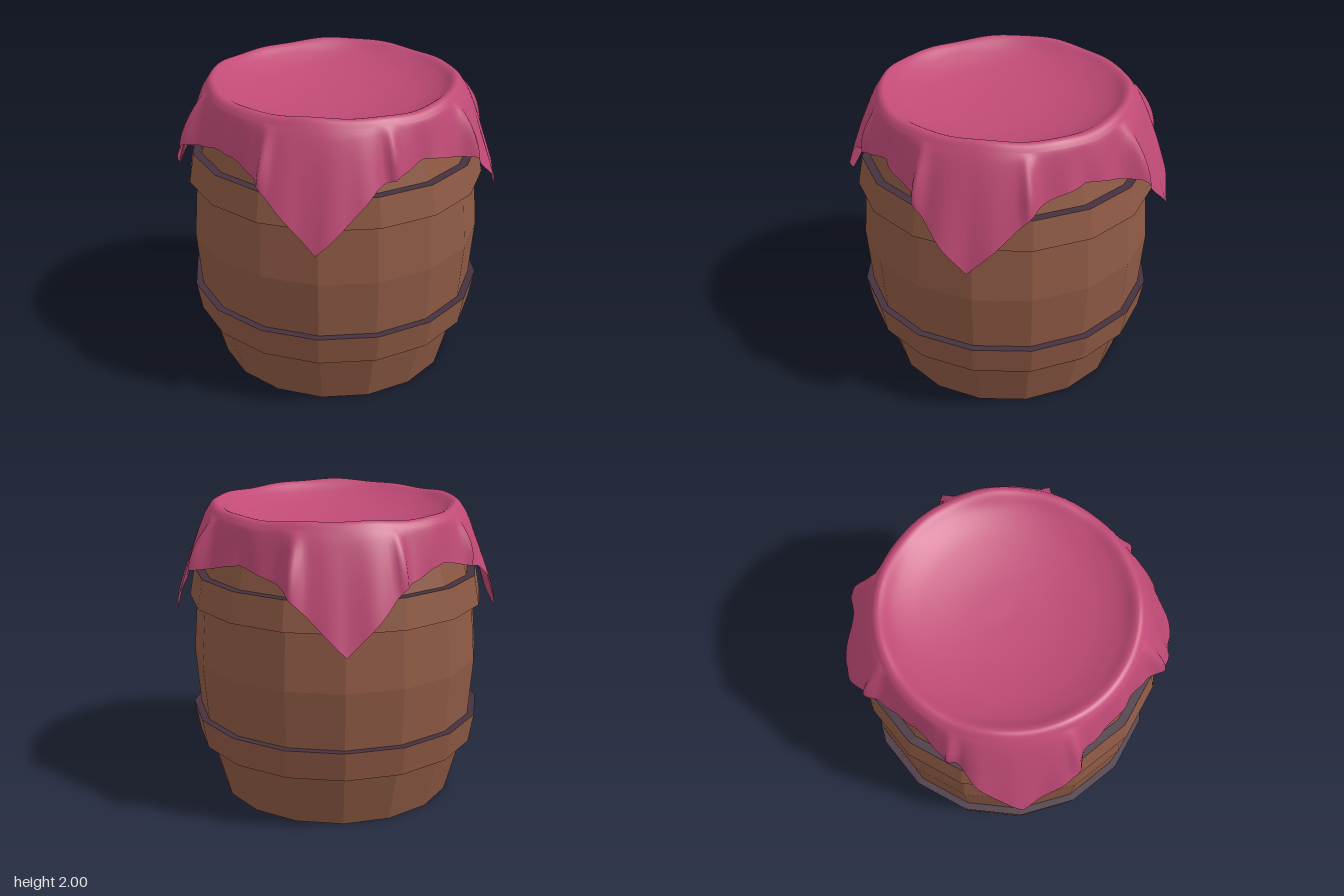
import * as THREE from 'three';

const SIDES = 16;
const wood = new THREE.MeshStandardMaterial({ color: 0x8f5a45 });
wood.name = 'brown wood';
const dark = new THREE.MeshStandardMaterial({ color: 0x46323f });
dark.name = 'dark edge';
const fabric = new THREE.MeshStandardMaterial({ color: 0xc04a76, side: THREE.DoubleSide });
fabric.name = 'pink cloth';

// Faceted ring from a [radius, height] profile, listed bottom to top on the outside
function facetedLathe(name, profile, material) {
  const points = profile.map(([r, y]) => new THREE.Vector2(r, y));
  const geometry = new THREE.LatheGeometry(points, SIDES).toNonIndexed();
  geometry.computeVertexNormals();
  const mesh = new THREE.Mesh(geometry, material);
  mesh.name = name;
  return mesh;
}

// Wide band with a brown face and dark upper and lower edges
function makeHoop(name, y0, r0, y1, r1, inner) {
  const hoop = new THREE.Group();
  hoop.name = name;
  hoop.add(
    facetedLathe('hoopFace', [[r0, y0], [r1, y1]], wood),
    facetedLathe('hoopUpperEdge', [[r1, y1], [inner, y1]], dark),
    facetedLathe('hoopLowerEdge', [[inner, y0], [r0, y0]], dark),
  );
  return hoop;
}

// Linear lookup in a list of [x, value] pairs
function lookup(table, x) {
  let i = 1;
  while (i < table.length - 1 && x > table[i][0]) i++;
  const [x0, v0] = table[i - 1], [x1, v1] = table[i];
  return v0 + (v1 - v0) * THREE.MathUtils.clamp((x - x0) / (x1 - x0), 0, 1);
}

// Square cloth: sagging centre, round rim, skirt with four hanging corners
function makeCloth() {
  const COLS = 240, SKIRT = 18;
  const top = new THREE.SplineCurve([
    [0, 1.79], [0.3, 1.81], [0.55, 1.865], [0.7, 1.93], [0.775, 1.973], [0.815, 1.968], [0.845, 1.93],
  ].map(([r, y]) => new THREE.Vector2(r, y))).getPoints(30);
  const hemHeight = [[0, 1.235], [7, 1.36], [15, 1.5], [21, 1.605], [30, 1.64], [39, 1.68], [45, 1.695]];
  const hemRadius = [[0, 1.09], [8, 1.065], [16, 1.03], [21, 0.985], [26, 0.925], [45, 0.89]];
  const pinches = [24.5, 73.5, 114.5, 156, 206, 246.5, 287.5, 335.5];

  const rows = top.length + SKIRT;
  const positions = [], index = [];
  for (let i = 0; i < rows; i++) {
    for (let j = 0; j < COLS; j++) {
      const deg = (j / COLS) * 360, phi = THREE.MathUtils.degToRad(deg);
      const fromCorner = Math.abs((deg % 90) - 45);
      let r, y;
      if (i < top.length) {
        r = top[i].x;
        y = top[i].y;
        // slight lift of the rim
        const rim = THREE.MathUtils.smoothstep(r, 0.68, 0.8);
        y += rim * (0.012 - 0.01 * Math.cos(4 * phi) + 0.004 * Math.sin(11 * phi));
      } else {
        const t = (i - top.length + 1) / SKIRT;
        const startY = 1.93 + 0.012 - 0.01 * Math.cos(4 * phi) + 0.004 * Math.sin(11 * phi);
        y = THREE.MathUtils.lerp(startY, lookup(hemHeight, fromCorner), t);
        r = THREE.MathUtils.lerp(0.845, lookup(hemRadius, fromCorner), Math.pow(t, 0.8));
        // soft folds and sharp pinched pleats
        r += 0.008 * t * (Math.sin(23 * phi + 1) + Math.sin(14 * phi + 2 * t));
        for (const p of pinches) {
          const d = (deg - p) / 2.4;
          r += 0.055 * Math.sin(Math.PI * Math.min(t * 0.75, 1)) * Math.exp(-d * d);
        }
      }
      positions.push(r * Math.sin(phi), y, r * Math.cos(phi));
      if (i < rows - 1) {
        const k = (j + 1) % COLS;
        const a = i * COLS + j, b = a + COLS, c = (i + 1) * COLS + k, d = i * COLS + k;
        index.push(a, b, c);
        if (i > 0) index.push(a, c, d);
      }
    }
  }
  const geometry = new THREE.BufferGeometry();
  geometry.setAttribute('position', new THREE.Float32BufferAttribute(positions, 3));
  geometry.setIndex(index);
  geometry.computeVertexNormals();
  // all copies of the centre point face straight up
  for (let j = 0; j < COLS; j++) geometry.attributes.normal.setXYZ(j, 0, 1, 0);
  const mesh = new THREE.Mesh(geometry, fabric);
  mesh.name = 'clothCover';
  return mesh;
}

export function createModel() {
  const model = new THREE.Group();
  model.name = 'coveredBarrel';
  model.add(
    facetedLathe('barrelBody', [
      [0.797, 0], [0.9, 0.38], [0.942, 0.58], [0.972, 0.965], [0.942, 1.35], [0.9, 1.545], [0.8, 1.92],
    ], wood),
    facetedLathe('barrelBottom', [[0, 0], [0.797, 0]], dark),
    makeHoop('lowerHoop', 0.38, 0.955, 0.58, 0.99, 0.895),
    makeHoop('upperHoop', 1.35, 0.99, 1.545, 0.955, 0.895),
    makeCloth(),
  );
  return model;
}
